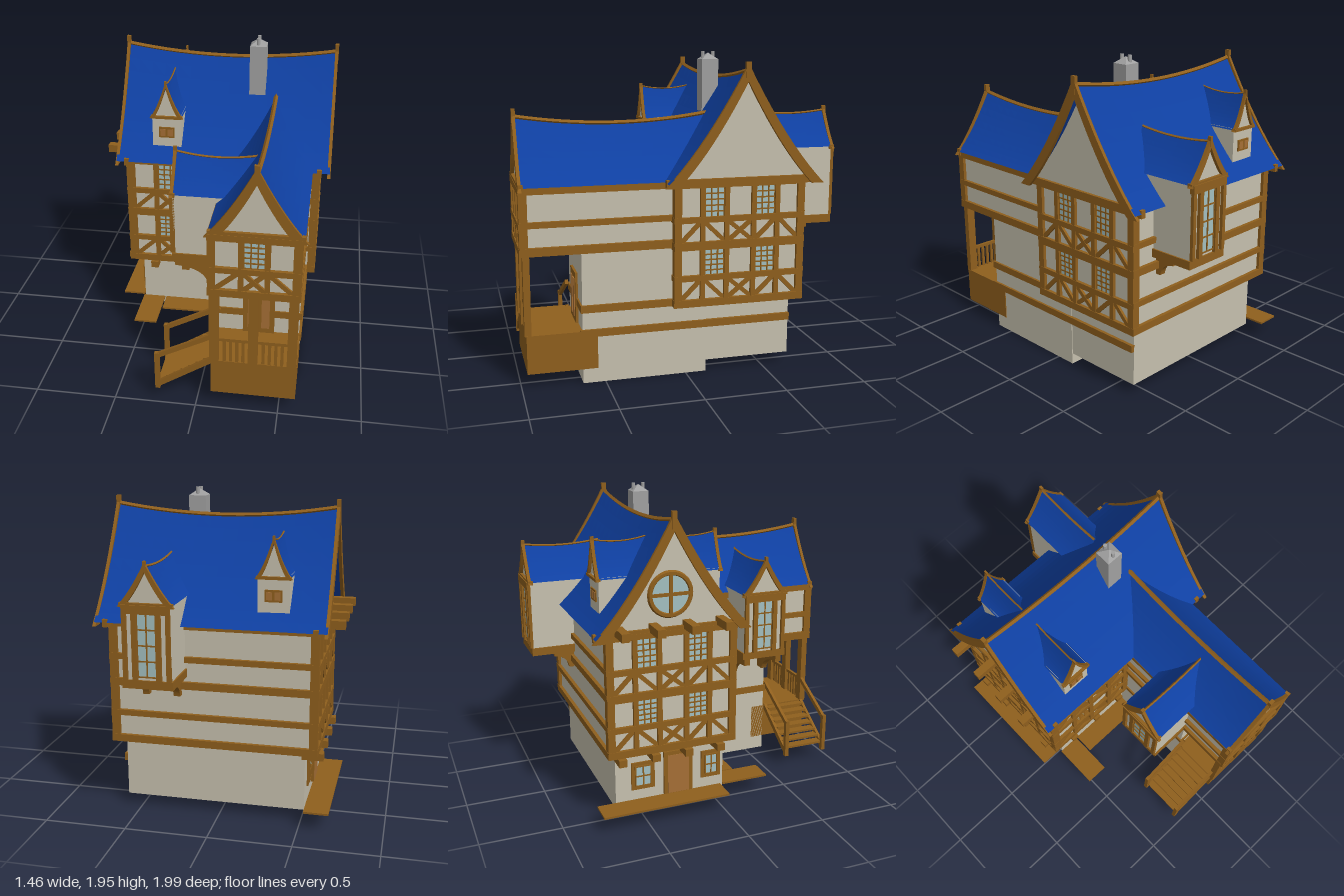
import * as THREE from 'three';

const mat = (color, extra = {}) => new THREE.MeshStandardMaterial({ color, flatShading: true, ...extra });
const WOOD = mat(0x8f5f1d), PLASTER = mat(0xc6c0ae), GLASS = mat(0xa3bfc0), STONE = mat(0xa0a0a0);
const TILE = mat(0x0f40a2, { side: THREE.DoubleSide });

function add(parent, name, geo, material) {
  const m = new THREE.Mesh(geo, material);
  m.name = name;
  parent.add(m);
  return m;
}
// Box given by its limits on each axis
function box(parent, name, x0, x1, y0, y1, z0, z1, material = WOOD) {
  const m = add(parent, name, new THREE.BoxGeometry(x1 - x0, y1 - y0, z1 - z0), material);
  m.position.set((x0 + x1) / 2, (y0 + y1) / 2, (z0 + z1) / 2);
  return m;
}
// Sloping timber between two points in a plane of constant z
function brace(parent, name, x0, y0, x1, y1, width, z0, z1) {
  const len = Math.hypot(x1 - x0, y1 - y0);
  const m = add(parent, name, new THREE.BoxGeometry(len, width, z1 - z0), WOOD);
  m.position.set((x0 + x1) / 2, (y0 + y1) / 2, (z0 + z1) / 2);
  m.rotation.z = Math.atan2(y1 - y0, x1 - x0);
}
function group(parent, name, x = 0, y = 0, z = 0, turn = 0) {
  const g = new THREE.Group();
  g.name = name;
  g.position.set(x, y, z);
  g.rotation.y = turn;
  parent.add(g);
  return g;
}
// Leaded window on a wall whose face is z = 0
function windowPane(parent, x0, x1, y0, y1, cols = 3, rows = 5) {
  box(parent, 'windowGlass', x0, x1, y0, y1, -0.01, 0.004, GLASS);
  for (let i = 0; i <= cols; i++) {
    const x = x0 + (x1 - x0) * i / cols;
    box(parent, 'glazingBar', x - 0.004, x + 0.004, y0, y1, 0, 0.009);
  }
  for (let j = 0; j <= rows; j++) {
    const y = y0 + (y1 - y0) * j / rows;
    box(parent, 'glazingBar', x0, x1, y - 0.004, y + 0.004, 0, 0.009);
  }
}
const beams = (g, x0, x1, list) => list.forEach(([a, b]) => box(g, 'beam', x0, x1, a, b, -0.01, 0.022));
const posts = (g, y0, y1, list) => list.forEach(([a, b]) => box(g, 'post', a, b, y0, y1, -0.01, 0.02));
// Brace panels: kind '/', '\\' or 'X'
function bracePanels(g, y0, y1, list) {
  for (const [a, b, kind] of list) {
    if (kind !== '\\') brace(g, 'brace', a, y0, b, y1, 0.026, -0.01, 0.014);
    if (kind !== '/') brace(g, 'brace', a, y1, b, y0, 0.026, -0.01, 0.016);
  }
}

// Concave gable outline: fraction of height at t = 0 (ridge) to 1 (eave)
const slope = (t, c) => 1 - t - c * t * (1 - t);
function gablePoints(half, y0, h, c, n = 10) {
  const pts = [];
  for (let i = -n; i <= n; i++) pts.push(new THREE.Vector2(half * i / n, y0 + h * slope(Math.abs(i) / n, c)));
  return pts;
}
const extrude = (shape, depth) => new THREE.ExtrudeGeometry(shape, { depth, bevelEnabled: false });

// Sagging roof along local z, gable end(s) at +z (and -z)
function roof(parent, name, o) {
  const { half, eave, ridge, sag, len, inset, c = 0.3, both = false, board = 0.055 } = o;
  const g = group(parent, name, o.x, 0, o.z, o.turn || 0);
  const top = z => ridge - sag * (1 - (2 * z / len) ** 2);
  const geo = new THREE.PlaneGeometry(2 * half, len, 20, 16).rotateX(-Math.PI / 2);
  const p = geo.attributes.position;
  for (let i = 0; i < p.count; i++) {
    p.setY(i, eave + (top(p.getZ(i)) - eave) * slope(Math.abs(p.getX(i)) / half, c));
  }
  geo.computeVertexNormals();
  add(g, 'roofTiles', geo, TILE);
  const line = [];
  for (let i = 0; i <= 12; i++) {
    const z = len * (i / 12 - 0.5);
    line.push(new THREE.Vector3(0, top(z), z));
  }
  add(g, 'ridgeBeam', new THREE.TubeGeometry(new THREE.CatmullRomCurve3(line), 16, board * 0.26, 4), WOOD);
  for (const s of both ? [1, -1] : [1]) {
    const end = group(g, 'gableEnd', 0, 0, s * len / 2, s > 0 ? 0 : Math.PI);
    const h = ridge - eave;
    // Barge boards: outer outline with the inner one running back
    const outer = gablePoints(half + board * 0.35, eave - board * 0.4, h + board, c);
    const inner = gablePoints(half - board, eave - board * 0.4, h - board * 0.8, c).reverse();
    const barge = add(end, 'bargeBoards', extrude(new THREE.Shape([...outer, ...inner]), 0.02), WOOD);
    barge.position.z = -0.015;
    box(end, 'finial', -board * 0.28, board * 0.28, ridge - board, ridge + board * 0.85, -0.016, 0.007);
    const fill = add(end, 'gableWall', extrude(new THREE.Shape(gablePoints(half - 0.012, eave, h - 0.035, c)), 0.02), PLASTER);
    fill.position.z = -inset - 0.02;
    box(end, 'tieBeam', -half, half, eave - board * 0.5, eave + board * 0.35, -inset - 0.01, -inset + 0.02);
  }
  return g;
}
// Curved bracket in the local x-y plane: wall at x = 0, reaching to x = w
function bracket(parent, w, h, y, z, turn, x) {
  const s = new THREE.Shape();
  s.moveTo(0, 0); s.lineTo(w, 0); s.lineTo(w, -h * 0.3);
  s.quadraticCurveTo(w * 0.35, -h * 0.35, w * 0.25, -h); s.lineTo(0, -h);
  const g = group(parent, 'bracket', x, y, z, turn);
  add(g, 'curvedBracket', extrude(s, 0.04), WOOD).position.z = -0.02;
}

export function createModel() {
  const house = new THREE.Group();
  house.name = 'timberHouse';
  const H = Math.PI / 2;

  // Masonry and plaster bodies
  box(house, 'mainBase', -0.52, 0.59, 0.07, 0.46, -0.67, 0.04, PLASTER);
  box(house, 'wingBase', 0.09, 0.595, 0, 0.82, -0.13, 0.635, PLASTER);
  box(house, 'mainStoreys', -0.58, 0.64, 0.44, 1.2, -0.71, 0.07, PLASTER);
  box(house, 'wingUpperStorey', 0.095, 0.585, 0.8, 1.2, 0, 0.97, PLASTER);
  box(house, 'baseBand', 0.58, 0.61, 0.29, 0.335, -0.67, 0.65);
  box(house, 'wingBand', 0.08, 0.61, 0.44, 0.485, 0.05, 0.645);

  // Roofs
  roof(house, 'mainRoof', { x: 0.035, z: -0.33, turn: H, half: 0.47, eave: 1.2, ridge: 1.85, sag: 0.06, len: 1.37, inset: 0.07, both: true });
  roof(house, 'wingRoof', { x: 0.345, z: 0.39, half: 0.27, eave: 1.2, ridge: 1.58, sag: 0.05, len: 1.19, inset: 0.015 });
  roof(house, 'bayRoof', { x: 0.065, z: 0.485, turn: -H, half: 0.155, eave: 1.24, ridge: 1.46, sag: 0.03, len: 0.52, inset: 0.015, board: 0.03 });
  roof(house, 'orielRoof', { x: 0.335, z: -0.74, turn: Math.PI, half: 0.155, eave: 1.36, ridge: 1.58, sag: 0.02, len: 0.5, inset: 0.015, board: 0.03 });

  // Side walls share one symmetric framing pattern
  for (const s of [1, -1]) {
    const w = group(house, s > 0 ? 'rightWall' : 'leftWall', s > 0 ? 0.64 : -0.58, 0, -0.32, s * H);
    beams(w, -0.41, 0.41, [[0.44, 0.485], [0.6, 0.635], [0.79, 0.84], [0.955, 0.99], [1.165, 1.2]]);
    posts(w, 0.44, 1.2, [[-0.41, -0.365], [-0.25, -0.22], [-0.1, -0.07], [0.07, 0.1], [0.22, 0.25], [0.365, 0.41]]);
    for (const [y0, y1, y2] of [[0.485, 0.6, 0.79], [0.84, 0.955, 1.165]]) {
      bracePanels(w, y0, y1, [[-0.365, -0.25, '/'], [-0.22, -0.1, '\\'], [-0.07, 0.07, 'X'], [0.1, 0.22, '/'], [0.25, 0.365, '\\']]);
      for (const x of [-0.16, 0.16]) windowPane(w, x - 0.06, x + 0.06, y1 + 0.03, y2);
    }
  }

  // Front wall of the main house
  const front = group(house, 'frontWall', 0, 0, 0.07);
  beams(front, -0.6, 0.66, [[0.44, 0.485], [0.6, 0.635], [0.79, 0.84], [0.955, 0.99], [1.165, 1.2]]);
  posts(front, 0.44, 1.2, [[-0.6, -0.545], [-0.42, -0.39], [-0.27, -0.235], [-0.105, -0.07], [0.045, 0.09], [0.61, 0.66]]);
  for (const [y0, y1, y2] of [[0.485, 0.6, 0.79], [0.84, 0.955, 1.165]]) {
    bracePanels(front, y0, y1, [[-0.545, -0.42, '/'], [-0.39, -0.27, 'X'], [-0.235, -0.105, '\\'], [-0.07, 0.045, '/']]);
    windowPane(front, -0.39, -0.27, y1 + 0.03, y2);
  }
  windowPane(front, -0.07, 0.045, 0.635, 0.79);

  // Back wall with plain bands
  const back = group(house, 'backWall', 0, 0, -0.71, Math.PI);
  beams(back, -0.66, 0.6, [[0.44, 0.485], [0.61, 0.645], [0.8, 0.845], [0.965, 1.0], [1.165, 1.2]]);
  posts(back, 0.44, 1.2, [[-0.66, -0.61], [0.55, 0.6]]);

  // Upper storey of the wing
  const wing = group(house, 'wingFront', 0.34, 0, 0.97);
  beams(wing, -0.265, 0.26, [[0.8, 0.845], [0.955, 0.99], [1.16, 1.2]]);
  posts(wing, 0.8, 1.2, [[-0.265, -0.22], [-0.09, -0.06], [0.06, 0.09], [0.215, 0.26]]);
  bracePanels(wing, 0.845, 0.955, [[-0.22, -0.09, '/'], [-0.06, 0.06, 'X'], [0.09, 0.215, '\\']]);
  windowPane(wing, -0.06, 0.06, 0.99, 1.16);
  for (const s of [1, -1]) {
    const w = group(house, 'wingSide', s > 0 ? 0.585 : 0.095, 0, 0.53, s * H);
    beams(w, -0.46, 0.46, [[0.8, 0.85], [0.965, 1.0], [1.16, 1.2]]);
    posts(w, 0.8, 1.2, [s > 0 ? [-0.46, -0.41] : [0.41, 0.46]]);
  }

  // Joist and purlin ends
  for (const z of [-0.65, -0.44, -0.23, -0.02]) {
    box(house, 'purlinEnd', -0.735, -0.55, 1.2, 1.25, z - 0.025, z + 0.025);
    box(house, 'joistEnd', -0.63, -0.5, 0.395, 0.44, z - 0.025, z + 0.025);
  }
  for (const x of [-0.43, -0.215, 0]) box(house, 'joistEnd', x - 0.025, x + 0.025, 0.395, 0.44, 0, 0.11);

  // Round window in the left gable
  const round = group(house, 'roundWindow', -0.58, 1.41, -0.33, -H);
  add(round, 'roundFrame', new THREE.TorusGeometry(0.125, 0.017, 6, 28), WOOD);
  add(round, 'roundGlass', new THREE.CylinderGeometry(0.12, 0.12, 0.012, 28).rotateX(H), GLASS);
  box(round, 'crossBar', -0.12, 0.12, -0.01, 0.01, -0.01, 0.015);
  box(round, 'crossBar', -0.01, 0.01, -0.12, 0.12, -0.01, 0.015);

  // Roof dormers, front and back
  for (const s of [1, -1]) {
    const d = group(house, s > 0 ? 'frontDormer' : 'backDormer', -0.33, 0, -0.33, s > 0 ? 0 : Math.PI);
    box(d, 'dormerBody', -0.093, 0.093, 1.25, 1.5, 0.1, 0.38, PLASTER);
    box(d, 'dormerWindow', -0.05, 0.05, 1.35, 1.42, 0.37, 0.388);
    for (const x of [-0.024, 0.024]) box(d, 'dormerPane', x - 0.017, x + 0.017, 1.362, 1.408, 0.38, 0.391, mat(0xa56f35));
    roof(d, 'dormerRoof', { x: 0, z: 0.225, half: 0.1, eave: 1.49, ridge: 1.71, sag: 0.02, len: 0.33, inset: 0.012, c: 0.45, board: 0.02 });
  }

  // Bay on the wing's side and oriel on the back
  box(house, 'bayBody', -0.185, 0.12, 0.84, 1.24, 0.34, 0.63, PLASTER);
  box(house, 'baySill', -0.195, 0.1, 0.8, 0.845, 0.33, 0.64);
  for (const z of [0.37, 0.6]) bracket(house, 0.27, 0.16, 0.8, z, Math.PI, 0.09);
  box(house, 'orielBody', 0.195, 0.475, 0.9, 1.36, -0.98, -0.6, PLASTER);
  box(house, 'orielSill', 0.185, 0.485, 0.875, 0.925, -0.99, -0.7);
  for (const x of [0.24, 0.43]) bracket(house, 0.13, 0.12, 0.88, -0.71, H, x);
  for (const [x, z, turn, y0, y1, hw] of [[-0.185, 0.485, -H, 0.845, 1.22, 0.145], [0.335, -0.98, Math.PI, 0.925, 1.34, 0.14]]) {
    const f = group(house, 'bayFace', x, 0, z, turn);
    posts(f, y0, y1, [[-hw, -hw + 0.025], [-0.085, -0.055], [0.055, 0.085], [hw - 0.025, hw]]);
    beams(f, -hw, hw, [[y1 - 0.03, y1 + 0.02]]);
    windowPane(f, -0.055, 0.055, y0 + 0.02, y1 - 0.03, 2, 4);
  }

  // Chimney
  box(house, 'chimneyStack', 0.17, 0.275, 1.55, 1.9, -0.295, -0.19, STONE);
  const cap = add(house, 'chimneyCap', new THREE.ConeGeometry(0.074, 0.04, 4).rotateY(Math.PI / 4), STONE);
  cap.position.set(0.2225, 1.92, -0.2425);
  for (const z of [-0.275, -0.21]) {
    add(house, 'chimneyPot', new THREE.CylinderGeometry(0.012, 0.012, 0.06, 10), STONE).position.set(0.2225, 1.92, z);
  }

  // Porch
  box(house, 'porchBase', 0.09, 0.6, 0.09, 0.325, 0.545, 0.965);
  for (const x of [0.11, 0.34, 0.57]) box(house, 'porchPost', x - 0.028, x + 0.028, 0.32, 0.8, 0.935, 0.975);
  for (const x of [0.14, 0.37]) {
    box(house, 'porchRail', x, x + 0.172, 0.47, 0.49, 0.945, 0.965);
    for (let i = 0; i < 4; i++) box(house, 'baluster', x + 0.022 + i * 0.037, x + 0.04 + i * 0.037, 0.32, 0.475, 0.948, 0.962);
  }
  box(house, 'frontDoor', 0.245, 0.44, 0.32, 0.64, 0.62, 0.65);
  for (const x of [0.275, 0.36]) box(house, 'doorPanel', x, x + 0.05, 0.36, 0.6, 0.64, 0.655, mat(0xa56f35));

  // Stairs up to the porch
  for (let i = 0; i < 7; i++) {
    const x = -0.235 + i * 0.046, y = 0.13 + i * 0.031;
    box(house, 'stairTread', x, x + 0.06, y - 0.014, y, 0.66, 0.94);
  }
  for (const z of [0.645, 0.935]) {
    brace(house, 'stairStringer', -0.235, 0.1, 0.1, 0.32, 0.035, z, z + 0.02);
    brace(house, 'stairRail', -0.24, 0.31, 0.1, 0.49, 0.03, z, z + 0.02);
    box(house, 'stairPost', -0.255, -0.225, 0.07, 0.33, z - 0.003, z + 0.023);
  }

  // Door and windows in the left base wall
  const lower = group(house, 'lowerLeftWall', -0.52, 0, 0, -H);
  box(lower, 'sideDoor', -0.36, -0.17, 0.115, 0.4, -0.01, 0.015);
  box(lower, 'sideDoorLeaf', -0.335, -0.195, 0.12, 0.375, 0, 0.018, mat(0xa56f35));
  for (const [a, b] of [[-0.57, -0.42], [-0.11, 0.02]]) {
    box(lower, 'windowFrame', a, b, 0.18, 0.36, -0.01, 0.01);
    const pane = group(lower, 'lowerWindow', 0, 0, 0.009);
    windowPane(pane, a + 0.025, b - 0.025, 0.205, 0.335, 2, 2);
  }

  // Boardwalk planks
  box(house, 'sidePlank', -0.68, -0.53, 0.105, 0.117, -0.79, 0.02);
  box(house, 'cornerPlank', -0.53, -0.38, 0.105, 0.117, 0.04, 0.35);
  box(house, 'frontPlank', -0.37, 0.095, 0.105, 0.117, 0.04, 0.18);
  return house;
}
